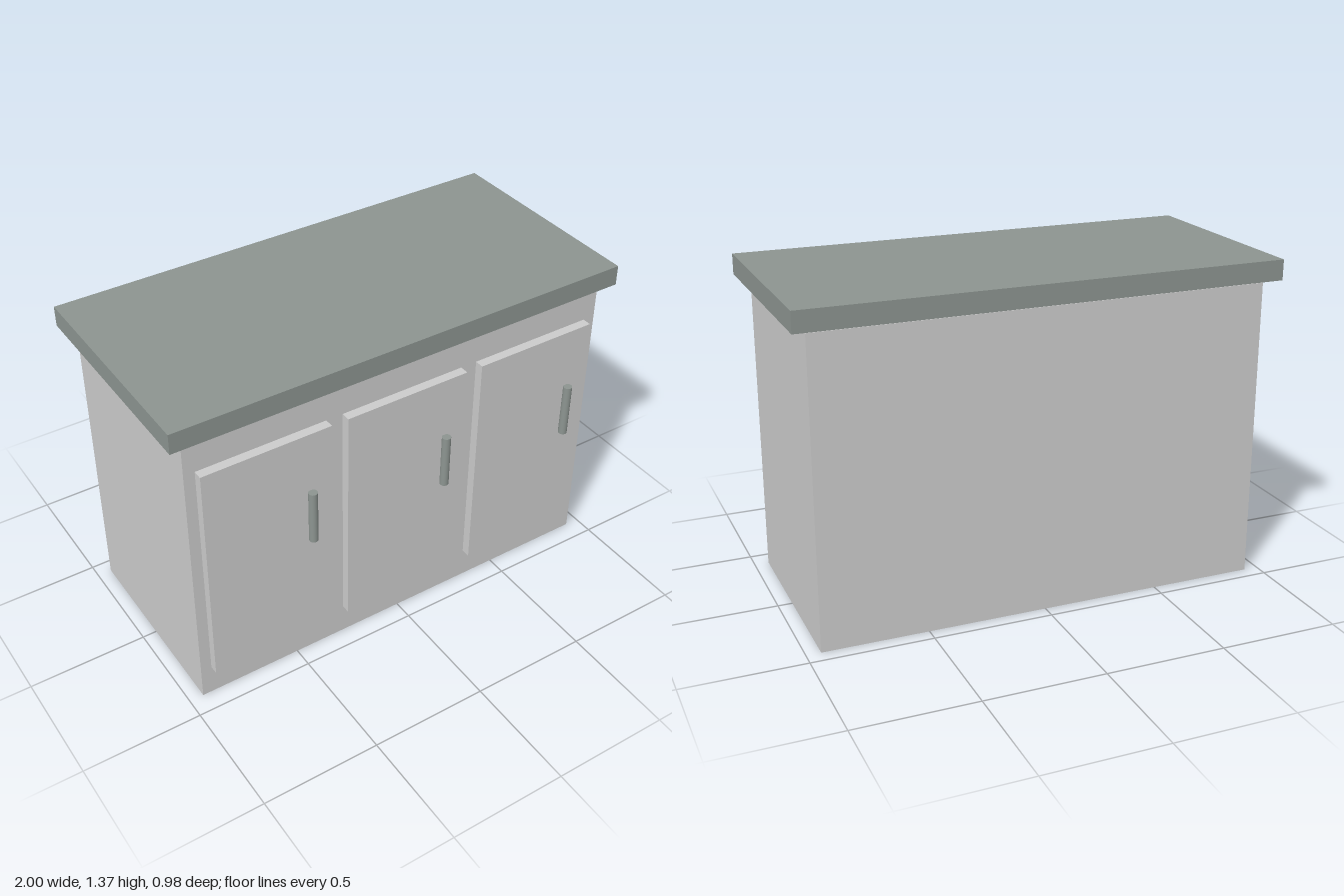
import * as THREE from 'three';

const light = new THREE.MeshStandardMaterial({ color: 0xcccccc });
const dark = new THREE.MeshStandardMaterial({ color: 0x8c9490 });

// Box given by its minimum and maximum corners
function box(name, material, [x0, y0, z0], [x1, y1, z1]) {
  const mesh = new THREE.Mesh(new THREE.BoxGeometry(x1 - x0, y1 - y0, z1 - z0), material);
  mesh.position.set((x0 + x1) / 2, (y0 + y1) / 2, (z0 + z1) / 2);
  mesh.name = name;
  return mesh;
}

export function createModel() {
  const group = new THREE.Group();
  group.name = 'cabinet';

  // Carcass, with a worktop floating just above it
  group.add(box('body', light, [-0.94, 0, -0.44], [0.94, 1.27, 0.415]));
  group.add(box('worktop', dark, [-1, 1.285, -0.487], [1, 1.37, 0.455]));

  // Three doors, each with an upright bar handle toward its +x edge
  const doorWidth = 0.546;
  for (let i = 0; i < 3; i++) {
    const x = -0.621 + i * 0.6175;
    const door = new THREE.Group();
    door.name = `door${i + 1}`;
    door.add(box('doorPanel', light,
      [x - doorWidth / 2, 0.137, 0.405], [x + doorWidth / 2, 1.135, 0.454]));

    const handle = new THREE.Mesh(new THREE.CylinderGeometry(0.0185, 0.0185, 0.236, 32), dark);
    handle.name = 'handle';
    handle.position.set(x + 0.177, 0.753, 0.47);
    door.add(handle);
    group.add(door);
  }
  return group;
}
